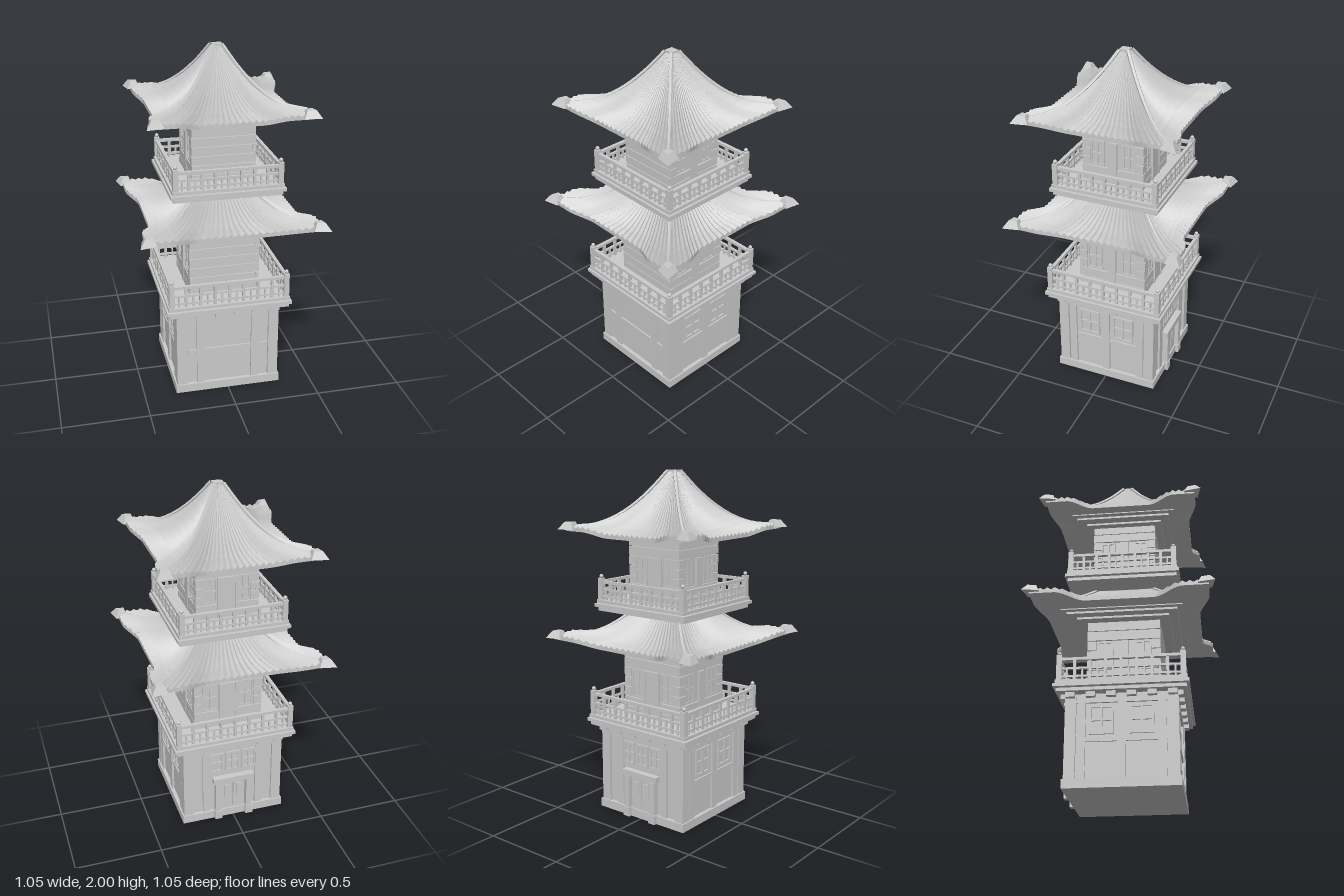
import * as THREE from 'three';

const material = new THREE.MeshStandardMaterial({ color: 0xcccccc, flatShading: true });
const smooth = new THREE.MeshStandardMaterial({ color: 0xcccccc });

function add(parent, name, geometry, x = 0, y = 0, z = 0, mat = material) {
  const mesh = new THREE.Mesh(geometry, mat);
  mesh.name = name;
  mesh.position.set(x, y, z);
  parent.add(mesh);
  return mesh;
}

// Box given by its size, centre x and z, and bottom y
function box(parent, name, w, h, d, x, y, z) {
  return add(parent, name, new THREE.BoxGeometry(w, h, d), x, y + h / 2, z);
}

function group(parent, name) {
  const g = new THREE.Group();
  g.name = name;
  parent.add(g);
  return g;
}

// Calls build(face, index) for front, +x, back and -x, each turned to face +z
function fourSides(parent, name, build) {
  for (let k = 0; k < 4; k++) {
    const g = group(parent, name);
    g.rotation.y = k * Math.PI / 2;
    build(g, k);
  }
}

function addWindow(face, x, y, z, w, h) {
  const g = group(face, 'window');
  const t = 0.012;
  for (const s of [-1, 0, 1]) box(g, 'windowUpright', t, h, t, x + s * (w - t) / 2, y, z);
  for (const s of [0, 0.5, 1]) box(g, 'windowBar', w, t, t, x, y + s * (h - t), z);
}

// Ground floor: plinth, timber frame, windows, door and deck brackets
function groundFloor(parent) {
  const g = group(parent, 'groundFloor');
  box(g, 'plinth', 0.625, 0.05, 0.625, 0, 0, 0);
  box(g, 'wallCore', 0.58, 0.48, 0.58, 0, 0.04, 0);
  for (const x of [-1, 1]) for (const z of [-1, 1])
    box(g, 'cornerPost', 0.06, 0.46, 0.06, x * 0.274, 0.05, z * 0.274);
  fourSides(g, 'groundFloorFace', (face, k) => {
    box(face, 'topBeam', 0.5, 0.035, 0.02, 0, 0.465, 0.292);
    for (let i = 0; i < 6; i++) box(face, 'deckBracket', 0.05, 0.03, 0.06, (i - 2.5) * 0.11, 0.493, 0.3);
    const side = k % 2 === 1;
    for (const x of side ? [-0.215, 0, 0.215] : [-0.163, 0.163])
      box(face, 'post', 0.045, 0.42, 0.025, x, 0.05, 0.29);
    if (k !== 2) box(face, 'middleBeam', 0.48, 0.022, 0.018, 0, 0.25, 0.29);
    if (side) for (const x of [-0.107, 0.107]) addWindow(face, x, 0.29, 0.293, 0.13, 0.16);
    if (k === 2) {
      for (const x of [-0.1, 0, 0.1]) addWindow(face, x, 0.32, 0.292, 0.085, 0.13);
      for (const s of [-1, 1]) {
        box(face, 'doorPost', 0.035, 0.25, 0.04, s * 0.095, 0, 0.307);
        box(face, 'doorPostFoot', 0.045, 0.055, 0.05, s * 0.095, 0, 0.307);
        box(face, 'doorLeaf', 0.07, 0.2, 0.015, s * 0.038, 0.05, 0.296);
        box(face, 'doorPanel', 0.035, 0.08, 0.01, s * 0.038, 0.14, 0.304);
      }
      box(face, 'doorLintel', 0.25, 0.035, 0.045, 0, 0.252, 0.305);
    }
  });
}

// Upper floor of interlocking planks, with windows on the sides and a door at the back
function upperFloor(parent, name, half, y0, y1) {
  const g = group(parent, name);
  box(g, 'wallCore', 2 * half - 0.025, y1 - y0, 2 * half - 0.025, 0, y0, 0);
  const courses = 7, h = (y1 - y0) / courses;
  fourSides(g, name + 'Face', (face, k) => {
    for (let i = 0; i < courses; i++) {
      const long = i % 2 === k % 2;
      const open = k > 0 && i > 1 && i < 5;
      const y = y0 + i * h, z = half - 0.012;
      if (!open) box(face, 'plank', 2 * half - (long ? 0 : 0.03), h - 0.004, 0.02, 0, y, z);
      else for (const s of [-1, 1])
        box(face, 'plankEnd', long ? 0.05 : 0.035, h - 0.004, 0.02, s * (half - (long ? 0.025 : 0.033)), y, z);
    }
    if (k === 0) return;
    for (const s of [-1, 1]) addWindow(face, s * half * 0.52, y0 + 2 * h, half - 0.012, half * 0.46, 2.9 * h);
    box(face, k === 2 ? 'door' : 'middlePost', k === 2 ? 0.09 : 0.05, 4.9 * h, 0.018, 0, y0, half - 0.008);
    if (k === 2) for (const s of [-1, 1])
      box(face, 'doorPost', 0.014, 4.95 * h, 0.024, s * 0.05, y0, half - 0.006);
  });
}

// Layered deck with a railing
function balcony(parent, name, half, y, railHeight) {
  const g = group(parent, name);
  [[-0.015, 0], [0, 0.023], [-0.01, 0.046]].forEach(([inset, dy]) =>
    box(g, 'deckLayer', 2 * (half + inset), 0.019, 2 * (half + inset), 0, y + dy, 0));
  box(g, 'deckCore', 2 * half - 0.06, 0.062, 2 * half - 0.06, 0, y, 0);
  const r = half - 0.03, floor = y + 0.064, n = 8, top = railHeight;
  fourSides(g, 'railing', face => {
    box(face, 'cornerPost', 0.03, top + 0.005, 0.03, r, floor, r);
    add(face, 'postBall', new THREE.SphereGeometry(0.012, 10, 8), r, floor + top + 0.016, r, smooth);
    box(face, 'topRail', 2 * r, 0.016, 0.02, 0, floor + top - 0.025, r);
    for (const f of [0.12, 0.45]) box(face, 'lowerRail', 2 * r, 0.012, 0.014, 0, floor + top * f, r);
    for (let i = 1; i < n; i++)
      box(face, 'baluster', 0.016, top - 0.02, 0.016, (i / n * 2 - 1) * r, floor, r);
    for (let i = 0; i < n; i++)
      box(face, 'picket', 0.01, top * 0.45, 0.01, ((i + 0.5) / n * 2 - 1) * r, floor, r);
  });
}

// Curved tiled roof. hip lists [half width, y] down a corner line;
// the middle of every eave is pulled in and lowered.
function roof(parent, name, hip, pull, soffitHalf, soffitY) {
  const g = group(parent, name);
  const curve = new THREE.CatmullRomCurve3(hip.map(([r, y]) => new THREE.Vector3(r, y, r)));
  const rows = 12, ridges = 24, cols = ridges * 2;
  const line = curve.getPoints(rows);
  const first = line[0].x, last = line[rows].x;

  fourSides(g, 'roofSlope', face => {
    const geo = new THREE.PlaneGeometry(1, 1, cols, rows + 2);
    const p = geo.attributes.position;
    for (let j = 0; j <= rows + 2; j++) for (let i = 0; i <= cols; i++) {
      const u = i / cols * 2 - 1, c = line[Math.min(j, rows)];
      const t = ((c.x - first) / (last - first)) ** 2;
      const middle = 1 - THREE.MathUtils.smoothstep(Math.abs(u), 0.38, 0.72);
      const tile = i % 2 ? Math.min(0.013, c.x * 0.05) : 0;
      let x = u * c.x, z = c.x - middle * pull * t, y = c.y - middle * 0.03 * t + tile;
      if (j === rows + 1) y -= 0.018 + tile;
      // last row tucks the underside in to the soffit
      if (j === rows + 2) { x = u * soffitHalf; z = soffitHalf; y = soffitY + 0.018; }
      p.setXYZ(j * (cols + 1) + i, x, y, z);
    }
    const flat = geo.toNonIndexed();
    flat.computeVertexNormals();
    add(face, 'tiles', flat);

    add(face, 'hipRidge', new THREE.TubeGeometry(curve, 16, 0.011, 5), 0, 0.004, 0);

    // Kite-shaped block at the tip of the corner
    const cap = new THREE.CylinderGeometry(0.5, 1, 0.042, 4);
    const q = cap.attributes.position;
    for (let i = 0; i < q.count; i++)
      q.setXYZ(i, q.getX(i) * 0.053, q.getY(i), q.getZ(i) * (q.getZ(i) > 0 ? 0.08 : 0.046));
    const d = last - 0.021;
    add(face, 'cornerCap', cap, d, line[rows].y + 0.012, d).rotation.y = Math.PI / 4;
  });

  // Stepped soffit
  for (const [s, dy] of [[0, 0.012], [-0.03, 0], [-0.08, -0.012]])
    box(g, 'soffitStep', 2 * (soffitHalf + s), 0.016, 2 * (soffitHalf + s), 0, soffitY + dy, 0);
}

export function createModel() {
  const model = new THREE.Group();
  model.name = 'pagoda';

  groundFloor(model);
  balcony(model, 'lowerBalcony', 0.365, 0.52, 0.14);
  upperFloor(model, 'middleFloor', 0.207, 0.575, 0.99);
  roof(model, 'lowerRoof',
    [[0.15, 1.215], [0.19, 1.175], [0.24, 1.13], [0.3, 1.09], [0.38, 1.062], [0.49, 1.06]],
    0.06, 0.34, 0.995);
  balcony(model, 'upperBalcony', 0.325, 1.205, 0.12);
  upperFloor(model, 'topFloor', 0.183, 1.26, 1.63);
  roof(model, 'upperRoof',
    [[0.025, 1.992], [0.055, 1.945], [0.095, 1.885], [0.165, 1.8], [0.24, 1.735], [0.32, 1.695], [0.43, 1.682]],
    0.045, 0.3, 1.632);
  box(model, 'roofPeak', 0.054, 0.03, 0.054, 0, 1.97, 0);

  return model;
}
